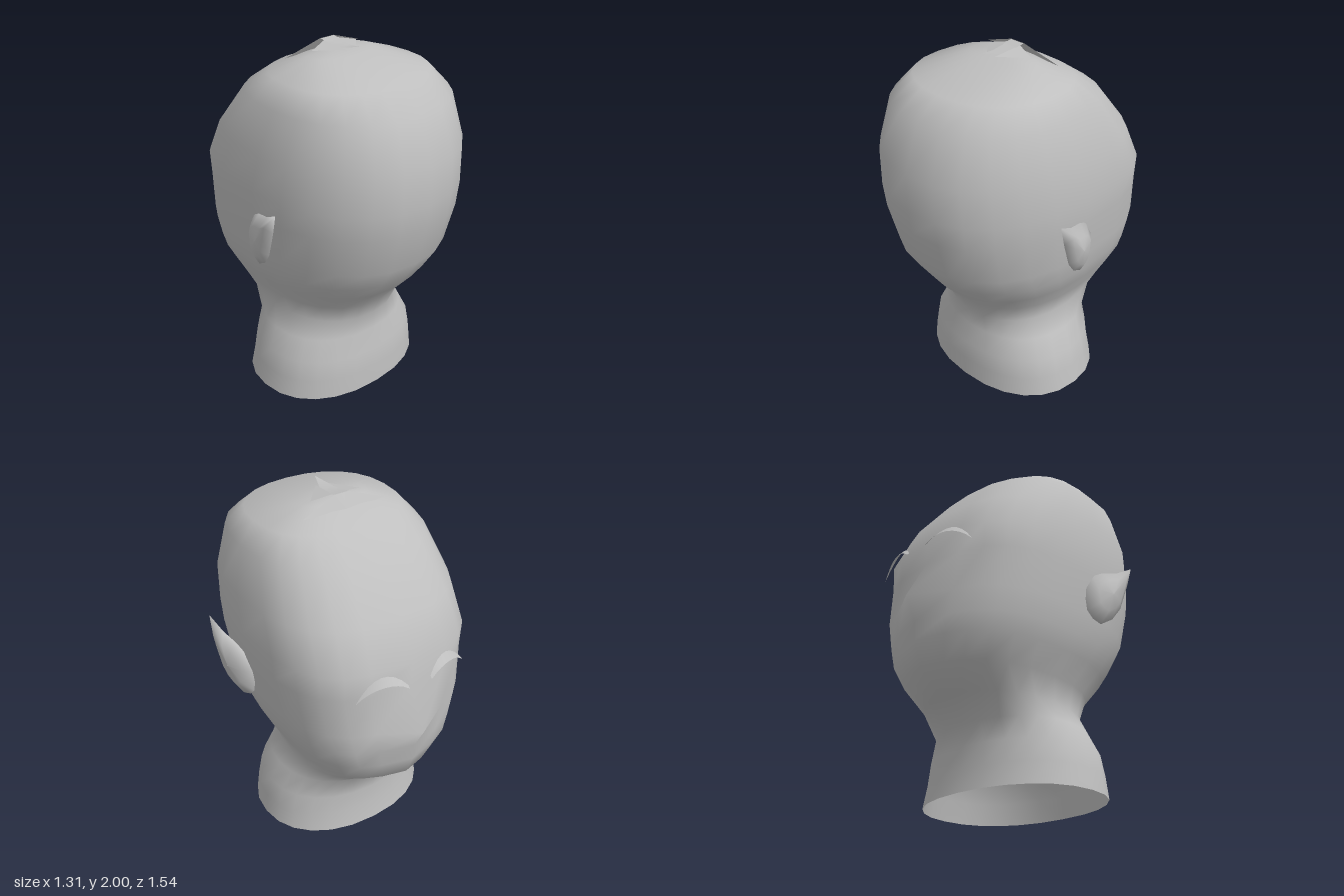
import * as THREE from 'three';

const skin = new THREE.MeshStandardMaterial({ color: 0xbfbfbf, side: THREE.DoubleSide });
skin.name = 'plain grey';

// Mesh from points and triangle indices, with smooth normals
function surface(name, points, index) {
  const geo = new THREE.BufferGeometry();
  geo.setAttribute('position', new THREE.Float32BufferAttribute(points.flat(), 3));
  geo.setIndex(index);
  geo.computeVertexNormals();
  const mesh = new THREE.Mesh(geo, skin);
  mesh.name = name;
  return mesh;
}

// Joins successive rings of n points, closed around if wanted
function joinRings(rings, n, closed) {
  const index = [];
  for (let i = 0; i < rings - 1; i++) {
    for (let j = 0; j < (closed ? n : n - 1); j++) {
      const a = i * n + j, b = i * n + (j + 1) % n;
      index.push(a, b, b + n, a, b + n, a + n);
    }
  }
  return index;
}

// Neck, skull and face: height, half width, back z, front z, front squareness, nose or lip ridge
function makeHead() {
  const levels = [
    [0, 0.525, 0.44, -0.375, 2.2, 0],
    [0.12, 0.505, 0.435, -0.355, 2.2, 0],
    [0.24, 0.48, 0.425, -0.35, 2.2, 0],
    [0.36, 0.42, 0.39, -0.355, 2.2, 0],
    [0.47, 0.37, 0.39, -0.49, 2.3, 0.01],
    [0.59, 0.41, 0.44, -0.63, 2.4, 0.02],
    [0.72, 0.48, 0.55, -0.67, 2.6, 0.03],
    [0.82, 0.515, 0.62, -0.67, 2.7, 0.035],
    [0.95, 0.545, 0.7, -0.665, 2.9, 0.105],
    [1.18, 0.57, 0.755, -0.635, 3, 0.01],
    [1.32, 0.577, 0.77, -0.64, 3, 0.01],
    [1.53, 0.565, 0.765, -0.54, 2.8, 0],
    [1.77, 0.5, 0.68, -0.35, 2.6, 0],
    [1.88, 0.41, 0.54, -0.19, 2.6, 0],
    [1.95, 0.2, 0.2, -0.01, 2.6, 0],
  ];
  const n = 24, points = [];
  for (const [y, w, back, front, square, ridge] of levels) {
    const mid = (back + front) / 2, depth = (back - front) / 2;
    for (let j = 0; j < n; j++) {
      const a = j / n * Math.PI * 2, s = Math.sin(a), c = Math.cos(a);
      const e = 2 / (c < 0 ? square : 2.25);
      const x = w * Math.sign(s) * Math.abs(s) ** e;
      const z = mid + depth * Math.sign(c) * Math.abs(c) ** e;
      points.push([x, y, j === n / 2 ? z - ridge : z]);
    }
  }
  const index = joinRings(levels.length, n, true);
  const last = (levels.length - 1) * n;
  points.push([0, 1.97, 0.08]);
  for (let j = 0; j < n; j++) index.push(last + j, last + (j + 1) % n, last + n);
  return surface('head', points, index);
}

// Pointed ear: rim outline in (z, y) with a bulging outer and inner shell
function makeEar(side) {
  const rim = [[0.335, 1.31], [0.23, 1.25], [0.13, 1.22], [0.06, 1.18], [0, 1.09],
    [0.015, 0.96], [0.05, 0.92], [0.1, 0.9], [0.18, 0.95], [0.24, 1.03], [0.3, 1.19]];
  const n = rim.length, points = [];
  const shells = [[0.02, -0.03], [0.6, -0.02], [1, 0], [0.6, 0.04], [0.02, 0.05]];
  for (const [scale, bulge] of shells) {
    for (const [rz, ry] of rim) {
      const z = 0.15 + (rz - 0.15) * scale, y = 1.08 + (ry - 1.08) * scale;
      points.push([side * (0.55 + 0.25 * z + bulge), y, z]);
    }
  }
  const index = joinRings(shells.length, n, true);
  if (side < 0) index.reverse();
  return surface(side > 0 ? 'leftEar' : 'rightEar', points, index);
}

// Arched brow: a crescent strip that stands out from the face
function makeBrow(side) {
  const curve = new THREE.QuadraticBezierCurve3(
    new THREE.Vector3(0.07, 1.25, -0.715),
    new THREE.Vector3(0.2, 1.41, -0.67),
    new THREE.Vector3(0.345, 1.2, -0.645));
  const n = 9, upper = [], lower = [];
  for (let i = 0; i < n; i++) {
    const t = i / (n - 1), p = curve.getPoint(t), thick = Math.sin(Math.PI * (0.12 + 0.88 * t));
    upper.push([side * p.x, p.y, p.z + 0.015 * thick]);
    lower.push([side * p.x, p.y - 0.04 * thick, p.z - 0.02 * thick]);
  }
  const index = joinRings(2, n, false);
  if (side > 0) index.reverse();
  return surface(side > 0 ? 'leftBrow' : 'rightBrow', [...upper, ...lower], index);
}

// Small folded tuft on the crown
function makeTuft() {
  const tuft = new THREE.Group();
  tuft.name = 'tuft';
  tuft.add(surface('tuftBlade', [
    [-0.045, 1.995, -0.01], [0.045, 1.995, -0.01], [0.04, 1.975, 0.12],
    [-0.04, 1.975, 0.12], [0, 2, 0.235],
  ], [0, 3, 2, 0, 2, 1, 3, 4, 2]));
  for (const s of [-1, 1]) {
    tuft.add(surface('tuftFold', [
      [s * 0.04, 1.99, 0.01], [s * 0.15, 1.965, 0.045], [s * 0.03, 1.975, 0.18],
    ], s > 0 ? [0, 2, 1] : [0, 1, 2]));
    tuft.add(surface('tuftCrease', [
      [0, 1.995, -0.015], [s * 0.045, 1.995, -0.015], [s * 0.25, 1.925, -0.045], [0, 1.92, -0.07],
    ], s > 0 ? [0, 1, 3, 1, 2, 3] : [0, 3, 1, 1, 3, 2]));
  }
  return tuft;
}

export function createModel() {
  const model = new THREE.Group();
  model.name = 'headBust';
  model.add(makeHead(), makeTuft());
  for (const side of [-1, 1]) model.add(makeEar(side), makeBrow(side));
  return model;
}
